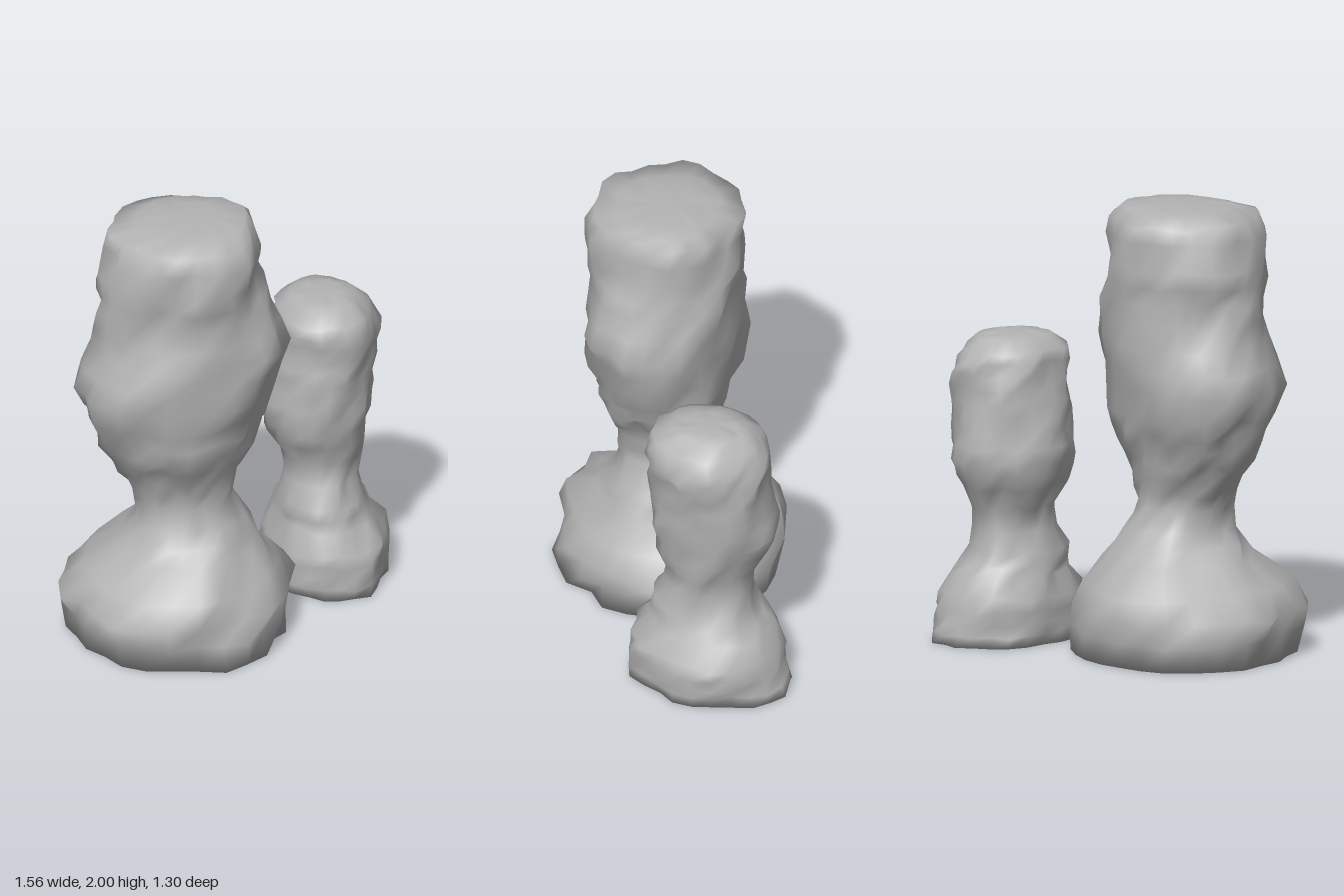
import * as THREE from 'three';

// Small seeded generator for the rough rock surface
function seeded(seed) {
  let s = seed;
  return () => {
    s = (s * 1664525 + 1013904223) % 4294967296;
    return s / 4294967296;
  };
}

// Rows: height, then the extents left (-x), right (+x), front (+z), back (-z)
const TALL = [
  [0, -0.73, 0.25, 0.64, -0.36], [0.11, -0.75, 0.27, 0.66, -0.38],
  [0.21, -0.78, 0.29, 0.65, -0.38], [0.31, -0.68, 0.22, 0.61, -0.33],
  [0.42, -0.54, 0.13, 0.48, -0.22], [0.56, -0.45, 0.06, 0.38, -0.1],
  [0.66, -0.44, 0.01, 0.36, -0.06], [0.8, -0.51, 0.03, 0.39, -0.08],
  [0.94, -0.6, 0.1, 0.47, -0.13], [1.08, -0.67, 0.16, 0.49, -0.17],
  [1.2, -0.71, 0.2, 0.52, -0.19], [1.4, -0.64, 0.25, 0.52, -0.19],
  [1.6, -0.6, 0.19, 0.49, -0.19], [1.75, -0.61, 0.14, 0.51, -0.2],
  [1.87, -0.56, 0.14, 0.51, -0.19], [1.95, -0.55, 0.12, 0.48, -0.19],
  [1.985, -0.42, 0.07, 0.37, -0.1],
];
const SHORT = [
  [0, 0.22, 0.77, 0.09, -0.65], [0.1, 0.21, 0.78, 0.09, -0.63],
  [0.21, 0.22, 0.78, 0.08, -0.62], [0.3, 0.25, 0.71, 0.01, -0.56],
  [0.4, 0.27, 0.66, 0, -0.48], [0.5, 0.3, 0.63, -0.06, -0.46],
  [0.6, 0.29, 0.66, -0.07, -0.47], [0.7, 0.23, 0.68, -0.02, -0.53],
  [0.82, 0.2, 0.7, 0.01, -0.58], [0.95, 0.21, 0.71, 0.01, -0.56],
  [1.08, 0.23, 0.72, 0, -0.55], [1.2, 0.25, 0.74, 0.01, -0.55],
  [1.3, 0.26, 0.69, 0, -0.51], [1.355, 0.34, 0.62, -0.09, -0.45],
];

// Closed rough column lofted through the rows
function makeColumn(rows, top, sides, rings, seed) {
  const random = seeded(seed);
  const height = rows[rows.length - 1][0];
  const positions = [], indices = [];

  const rowAt = (y) => {
    let i = 0;
    while (i < rows.length - 2 && y > rows[i + 1][0]) i++;
    const t = (y - rows[i][0]) / (rows[i + 1][0] - rows[i][0]);
    return rows[i].map((v, k) => THREE.MathUtils.lerp(v, rows[i + 1][k], t));
  };

  // Ring heights: the profile rows with extra rings between the distant ones
  const heights = rows.map((r) => r[0]);
  while (heights.length < rings) {
    let gap = 0;
    for (let i = 1; i < heights.length - 1; i++) {
      if (heights[i + 1] - heights[i] > heights[gap + 1] - heights[gap]) gap = i;
    }
    heights.splice(gap + 1, 0, (heights[gap] + heights[gap + 1]) / 2);
  }

  for (const y of heights) {
    const [, left, right, front, back] = rowAt(y);
    const cx = (left + right) / 2, cz = (front + back) / 2;
    const rx = (right - left) / 2, rz = (front - back) / 2;
    for (let j = 0; j < sides; j++) {
      const a = (j / sides) * Math.PI * 2;
      const lump = 0.02 * Math.sin(3 * a + y * 7 + seed) + 0.02 * Math.sin(5 * a - y * 11);
      const r = 0.965 + lump + (random() - 0.5) * 0.11;
      const lift = y === 0 || y === height ? 0 : (random() - 0.5) * 0.025;
      positions.push(cx + Math.sin(a) * rx * r, y + lift, cz + Math.cos(a) * rz * r);
    }
  }

  // Slightly domed inner ring and centre points for the caps
  const [, l, r, f, b] = rows[rows.length - 1];
  const cx = (l + r) / 2, cz = (f + b) / 2;
  for (let j = 0; j < sides; j++) {
    const a = (j / sides) * Math.PI * 2;
    positions.push(cx + Math.sin(a) * (r - l) * 0.3, top - random() * 0.012, cz + Math.cos(a) * (f - b) * 0.3);
  }
  const total = heights.length + 1;
  const topCentre = total * sides, bottomCentre = topCentre + 1;
  const base = rows[0];
  positions.push(cx, top, cz, (base[1] + base[2]) / 2, 0, (base[3] + base[4]) / 2);

  for (let j = 0; j < sides; j++) {
    const k = (j + 1) % sides;
    for (let i = 0; i < total - 1; i++) {
      const p = i * sides + j, q = i * sides + k;
      indices.push(p, q, q + sides, p, q + sides, p + sides);
    }
    indices.push((total - 1) * sides + j, (total - 1) * sides + k, topCentre);
    indices.push(k, j, bottomCentre);
  }

  const geometry = new THREE.BufferGeometry();
  geometry.setAttribute('position', new THREE.Float32BufferAttribute(positions, 3));
  geometry.setIndex(indices);
  geometry.computeVertexNormals();
  return geometry;
}

export function createModel() {
  const stone = new THREE.MeshStandardMaterial({ color: 0xb4b4b4 });
  stone.name = 'grey stone';
  const group = new THREE.Group();
  group.name = 'rockPillars';

  const add = (name, geometry) => {
    const mesh = new THREE.Mesh(geometry, stone);
    mesh.name = name;
    group.add(mesh);
  };
  add('tallPillar', makeColumn(TALL, 2, 26, 24, 7));
  add('shortPillar', makeColumn(SHORT, 1.37, 24, 22, 19));
  return group;
}
